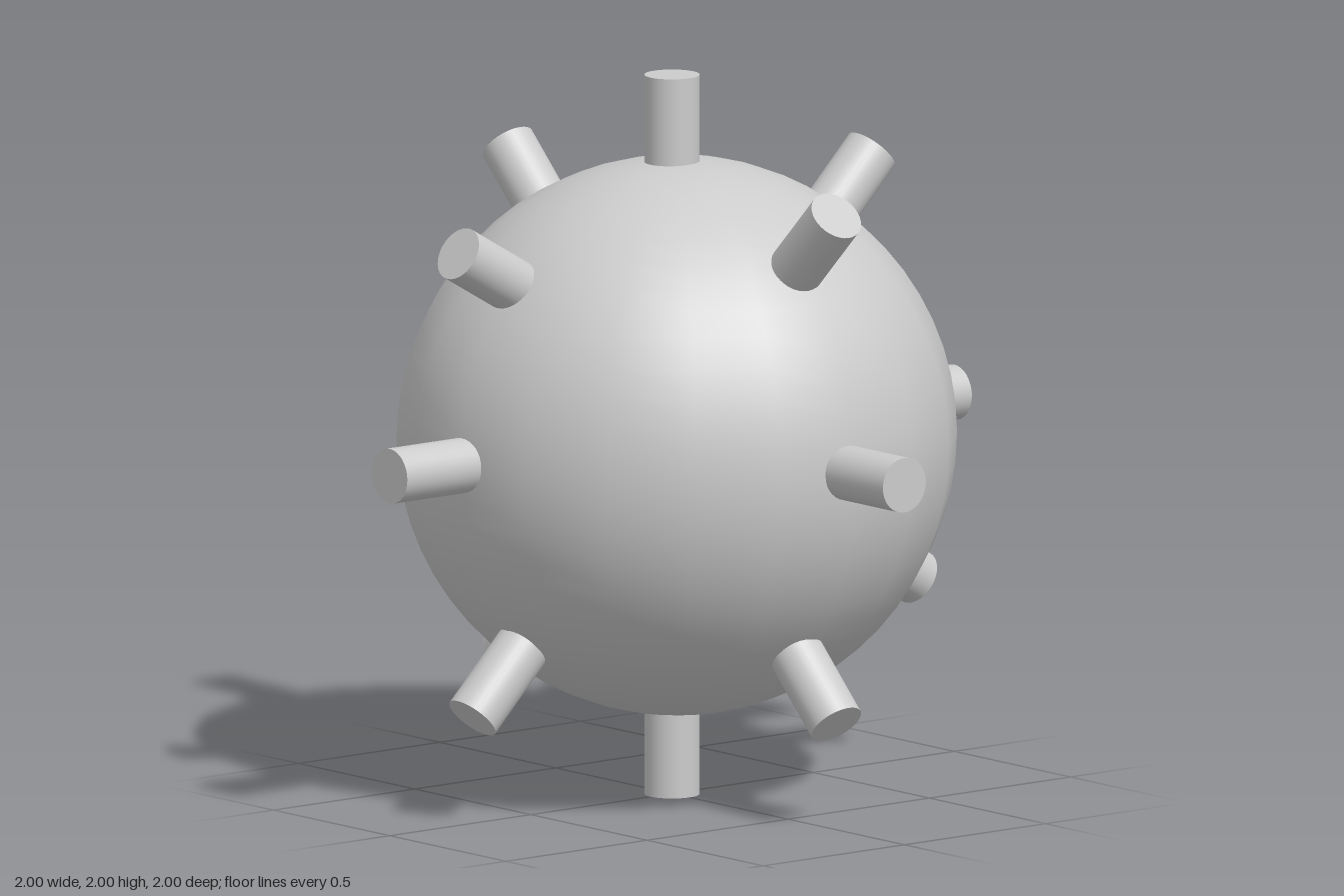
import * as THREE from 'three';

export function createModel() {
  const model = new THREE.Group();
  model.name = 'spikedBall';
  const material = new THREE.MeshStandardMaterial({ color: 0xcccccc });

  // Round body, set very slightly behind the pins' common centre
  const body = new THREE.Mesh(new THREE.SphereGeometry(0.768, 20, 30), material);
  body.name = 'body';
  body.position.set(0, 0.996, -0.017);
  model.add(body);

  // Pin shape: base at the origin, pointing up
  const length = 0.5;
  const pinGeometry = new THREE.CylinderGeometry(0.076, 0.076, length, 32);
  pinGeometry.translate(0, -length / 2, 0);
  const up = new THREE.Vector3(0, 1, 0);

  // Places a pin by its outward direction and the centre of its end cap
  function addPin(name, direction, tip) {
    const dir = new THREE.Vector3(...direction).normalize();
    const pin = new THREE.Mesh(pinGeometry, material);
    pin.name = name;
    pin.quaternion.setFromUnitVectors(up, dir);
    if (tip) pin.position.set(...tip);
    else pin.position.copy(dir).add(up);
    model.add(pin);
  }

  // Pins along the main axes
  addPin('topPin', [0, 1, 0]);
  addPin('bottomPin', [0, -1, 0]);
  addPin('frontPin', [0, 0, 1]);
  addPin('backPin', [0, 0, -1]);

  // Side pins and side diagonals, mirrored
  for (const [side, s] of [['left', 1], ['right', -1]]) {
    addPin(side + 'Pin', [s, 0, 0]);
    addPin(side + 'UpperPin', [s, 1, 0]);
    addPin(side + 'LowerPin', [s, -1, 0]);
  }

  // Front and back diagonals; two of them lean at 30 degrees
  addPin('backUpperPin', [0, 1, -1]);
  addPin('frontLowerPin', [0, -1, 1]);
  addPin('backLowerPin', [0, -0.5, -0.866]);
  addPin('frontUpperPin', [0, 0.5, 0.866], [0, 1.59, 0.757]);

  return model;
}
